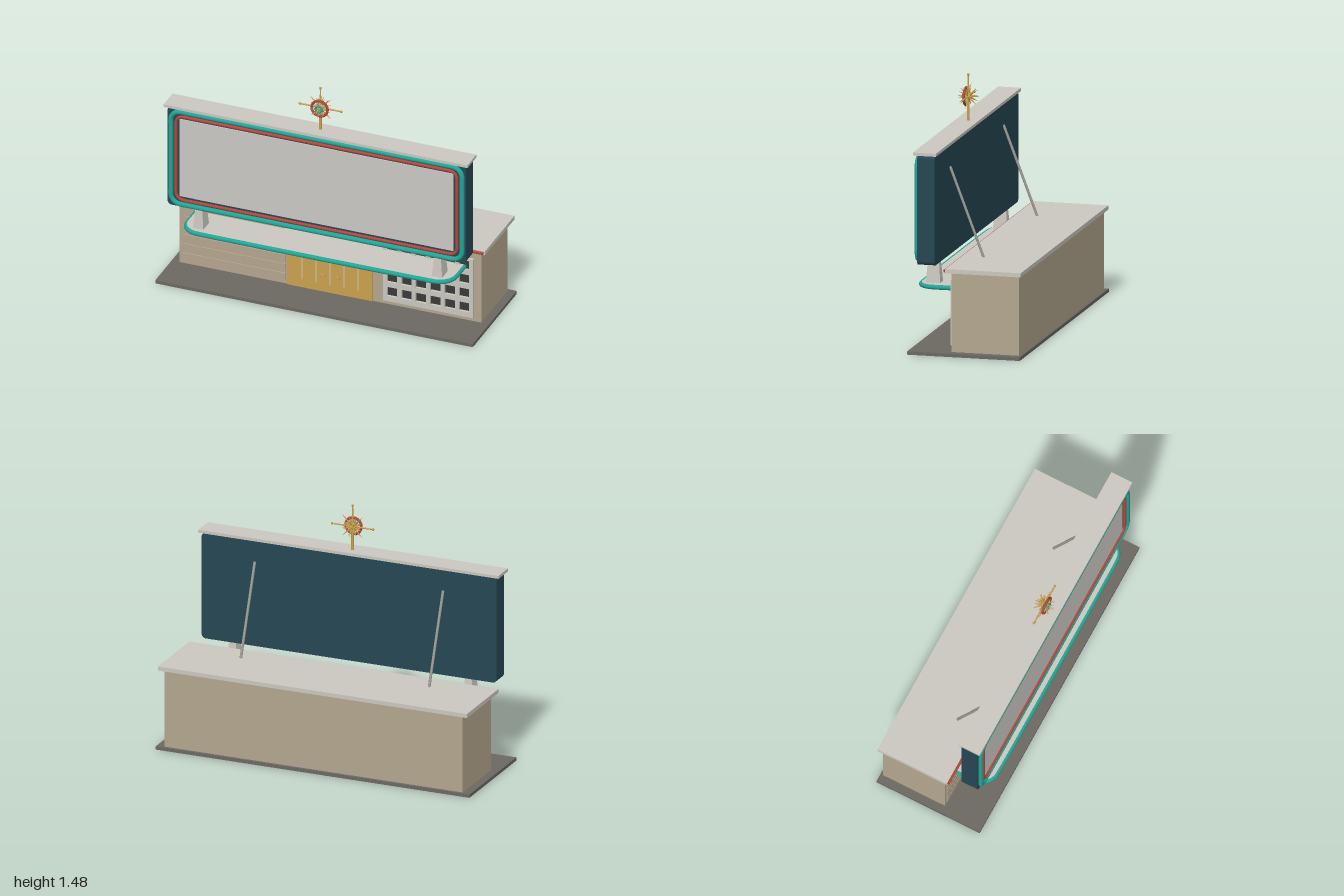
import * as THREE from 'three';

const mat = (name, color) => {
  const m = new THREE.MeshStandardMaterial({ color });
  m.name = name;
  return m;
};

export function createModel() {
  const concrete = mat('concrete', 0xc9c7be);
  const screenGrey = mat('screen grey', 0xcac8c3);
  const wallTan = mat('wall tan', 0xb3a68e);
  const navy = mat('deep blue', 0x264653);
  const teal = mat('teal', 0x22a595);
  const red = mat('red', 0xb0473c);
  const gold = mat('gold', 0xc9a14d);
  const dark = mat('dark opening', 0x3b3a3a);
  const paving = mat('paving', 0x6b6861);
  const steel = mat('steel', 0x9a9995);

  const model = new THREE.Group();
  const group = (name, parent = model) => {
    const g = new THREE.Group();
    g.name = name;
    parent.add(g);
    return g;
  };
  const add = (name, geo, material, parent = model) => {
    const m = new THREE.Mesh(geo, material);
    m.name = name;
    parent.add(m);
    return m;
  };
  // box given by its limits
  const box = (name, x0, x1, y0, y1, z0, z1, material, parent) => {
    const m = add(name, new THREE.BoxGeometry(x1 - x0, y1 - y0, z1 - z0), material, parent);
    m.position.set((x0 + x1) / 2, (y0 + y1) / 2, (z0 + z1) / 2);
    return m;
  };
  // round or tapering bar between two points
  const rod = (name, a, b, r0, r1, material, parent, sides = 10) => {
    const d = b.clone().sub(a);
    const m = add(name, new THREE.CylinderGeometry(r1, r0, d.length(), sides), material, parent);
    m.position.copy(a).addScaledVector(d, 0.5);
    m.quaternion.setFromUnitVectors(new THREE.Vector3(0, 1, 0), d.normalize());
    return m;
  };
  const roundRect = (w, h, r) => {
    const s = new THREE.Shape();
    s.moveTo(-w + r, -h);
    s.lineTo(w - r, -h);
    s.absarc(w - r, -h + r, r, -Math.PI / 2, 0);
    s.lineTo(w, h - r);
    s.absarc(w - r, h - r, r, 0, Math.PI / 2);
    s.lineTo(-w + r, h);
    s.absarc(-w + r, h - r, r, Math.PI / 2, Math.PI);
    s.lineTo(-w, -h + r);
    s.absarc(-w + r, -h + r, r, Math.PI, Math.PI * 1.5);
    return s;
  };
  const V = (x, y, z) => new THREE.Vector3(x, y, z);

  // base and building
  box('groundSlab', -1, 1, 0, 0.02, -0.34, 0.34, paving);
  box('building', -0.95, 0.95, 0.02, 0.495, -0.323, 0.085, wallTan);
  box('roof', -0.985, 0.985, 0.495, 0.52, -0.342, 0.115, concrete);
  rod('roofTrim', V(-0.975, 0.507, 0.12), V(0.975, 0.507, 0.12), 0.009, 0.009, red);

  // siding boards left of the doors
  const siding = group('siding');
  for (let i = 0; i < 7; i++) {
    const y = 0.04 + i * 0.062;
    box('sidingBoard', -0.93, -0.285, y, y + 0.05, 0.085, 0.092, wallTan, siding);
  }

  // entrance doors
  const doors = group('doors');
  box('doorPanel', -0.27, 0.267, 0.02, 0.357, 0.08, 0.092, gold, doors);
  for (let i = -2; i <= 2; i++) {
    const x = i * 0.088;
    box('doorMullion', x - 0.003, x + 0.003, 0.075, 0.35, 0.09, 0.095, concrete, doors);
  }
  box('doorTransom', -0.265, 0.262, 0.249, 0.261, 0.09, 0.094, concrete, doors);
  for (const s of [-1, 1]) {
    box('doorHandle', s * 0.045 - 0.015, s * 0.045 + 0.015, 0.122, 0.138, 0.09, 0.1, gold, doors);
  }

  // breeze-block screen with square openings
  const grille = group('blockScreen');
  const face = new THREE.Shape();
  face.moveTo(0.34, 0.05).lineTo(0.905, 0.05).lineTo(0.905, 0.44).lineTo(0.34, 0.44).closePath();
  for (let i = 0; i < 6; i++) {
    for (let j = 0; j < 4; j++) {
      const x = 0.395 + i * 0.091, y = 0.115 + j * 0.094, w = 0.032, h = 0.03;
      const hole = new THREE.Path();
      hole.moveTo(x - w, y - h).lineTo(x - w, y + h).lineTo(x + w, y + h).lineTo(x + w, y - h).closePath();
      face.holes.push(hole);
    }
  }
  add('blockLattice', new THREE.ExtrudeGeometry(face, { depth: 0.019, bevelEnabled: false }), concrete, grille)
    .position.z = 0.086;
  box('blockBacking', 0.35, 0.895, 0.06, 0.43, 0.08, 0.09, dark, grille);

  // canopy with rounded front corners and a glowing edge tube
  const canopy = group('canopy');
  const cw = 0.845, cz = 0.32, cr = 0.1;
  const plan = new THREE.Shape();
  plan.moveTo(-cw, 0.08);
  plan.lineTo(cw, 0.08);
  plan.lineTo(cw, cz - cr);
  plan.absarc(cw - cr, cz - cr, cr, 0, Math.PI / 2);
  plan.lineTo(-cw + cr, cz);
  plan.absarc(-cw + cr, cz - cr, cr, Math.PI / 2, Math.PI);
  plan.closePath();
  const slab = new THREE.ExtrudeGeometry(plan, { depth: 0.024, bevelEnabled: false }).rotateX(Math.PI / 2);
  add('canopySlab', slab, concrete, canopy).position.y = 0.391;
  const rim = [V(cw, 0.378, 0.085), V(cw, 0.378, 0.15)];
  for (const [sx, from] of [[1, 0], [-1, Math.PI / 2]]) {
    for (let i = 0; i <= 8; i++) {
      const a = from + (i / 8) * Math.PI / 2;
      rim.push(V(sx * (cw - cr) + cr * Math.cos(a), 0.378, cz - cr + cr * Math.sin(a)));
    }
  }
  rim.push(V(-cw, 0.378, 0.15), V(-cw, 0.378, 0.085));
  const rimCurve = new THREE.CatmullRomCurve3(rim, false, 'centripetal');
  add('canopyTube', new THREE.TubeGeometry(rimCurve, 160, 0.014, 10), teal, canopy);
  for (let i = 0; i < 6; i++) {
    const x = -0.625 + i * 0.25;
    rod('downlight', V(x, 0.36, 0.21), V(x, 0.37, 0.21), 0.016, 0.016, concrete, canopy, 16);
  }

  // tapered legs and rear braces for the sign
  for (const s of [-1, 1]) {
    const leg = new THREE.BoxGeometry(0.066, 0.14, 0.088);
    const p = leg.attributes.position;
    for (let i = 0; i < p.count; i++) {
      if (p.getY(i) > 0) p.setXYZ(i, p.getX(i) * 0.62, p.getY(i), p.getZ(i) * 0.75);
    }
    leg.computeVertexNormals();
    add('signLeg', leg, concrete).position.set(s * 0.752, 0.458, 0.242);
    rod('signBrace', V(s * 0.6, 1.05, 0.188), V(s * 0.6, 0.515, -0.016), 0.008, 0.008, steel);
  }

  // sign cabinet, border tubes and screen
  const sign = group('sign');
  const midY = 0.852;
  const cabinet = new THREE.ExtrudeGeometry(roundRect(0.94, 0.328, 0.025), { depth: 0.106, bevelEnabled: false });
  add('signCabinet', cabinet, navy, sign).position.set(0, midY, 0.19);
  box('signCap', -0.957, 0.957, 1.18, 1.198, 0.178, 0.317, concrete, sign);
  box('signScreen', -0.862, 0.862, 0.595, 1.112, 0.294, 0.302, screenGrey, sign);
  const borderTube = (name, w, h, r, tube, material) => {
    const pts = roundRect(w, h, r).getSpacedPoints(160).slice(0, -1).map((q) => V(q.x, q.y, 0));
    const curve = new THREE.CatmullRomCurve3(pts, true);
    add(name, new THREE.TubeGeometry(curve, 240, tube, 10, true), material, sign).position.set(0, midY, 0.303);
  };
  borderTube('outerBorder', 0.917, 0.309, 0.06, 0.015, teal);
  borderTube('innerBorder', 0.885, 0.279, 0.045, 0.01, red);

  // starburst finial
  const star = group('starburst');
  star.position.set(0, 1.342, 0.24);
  rod('finialPost', V(0, -0.145, 0), V(0, 0, 0), 0.009, 0.007, gold, star);
  add('finialCore', new THREE.SphereGeometry(0.022, 16, 12), gold, star);
  for (const d of [V(1, 0, 0), V(-1, 0, 0), V(0, 1, 0)]) {
    const tip = d.clone().multiplyScalar(0.13);
    rod('longRay', V(0, 0, 0), tip, 0.006, 0.004, gold, star, 8);
    add('rayTip', new THREE.SphereGeometry(0.008, 12, 8), gold, star).position.copy(tip);
  }
  for (let i = 0; i < 16; i++) {
    const a = (i / 16) * Math.PI * 2;
    const len = i % 4 === 2 ? 0.09 : 0.065;
    rod('flatRay', V(0, 0, 0), V(Math.cos(a) * len, Math.sin(a) * len, 0), 0.006, 0.001, gold, star, 6);
  }
  for (let i = 0; i < 8; i++) {
    const a = (i / 8) * Math.PI * 2;
    for (const s of [-1, 1]) {
      const tip = V(Math.cos(a) * 0.046, Math.sin(a) * 0.046, s * 0.046);
      rod('slantRay', V(0, 0, 0), tip, 0.007, 0.001, gold, star, 6);
    }
  }
  for (const s of [-1, 1]) rod('axisRay', V(0, 0, 0), V(0, 0, s * 0.066), 0.008, 0.001, gold, star, 6);
  add('starRing', new THREE.TorusGeometry(0.05, 0.008, 10, 40), red, star).position.z = 0.014;
  add('starInnerRing', new THREE.TorusGeometry(0.02, 0.006, 10, 28), teal, star).position.z = 0.026;
  for (let i = 0; i < 16; i++) {
    const a = (i / 16) * Math.PI * 2, c = Math.cos(a), n = Math.sin(a);
    rod('ringSpoke', V(c * 0.02, n * 0.02, 0.018), V(c * 0.048, n * 0.048, 0.014), 0.002, 0.002, concrete, star, 6);
  }

  return model;
}
